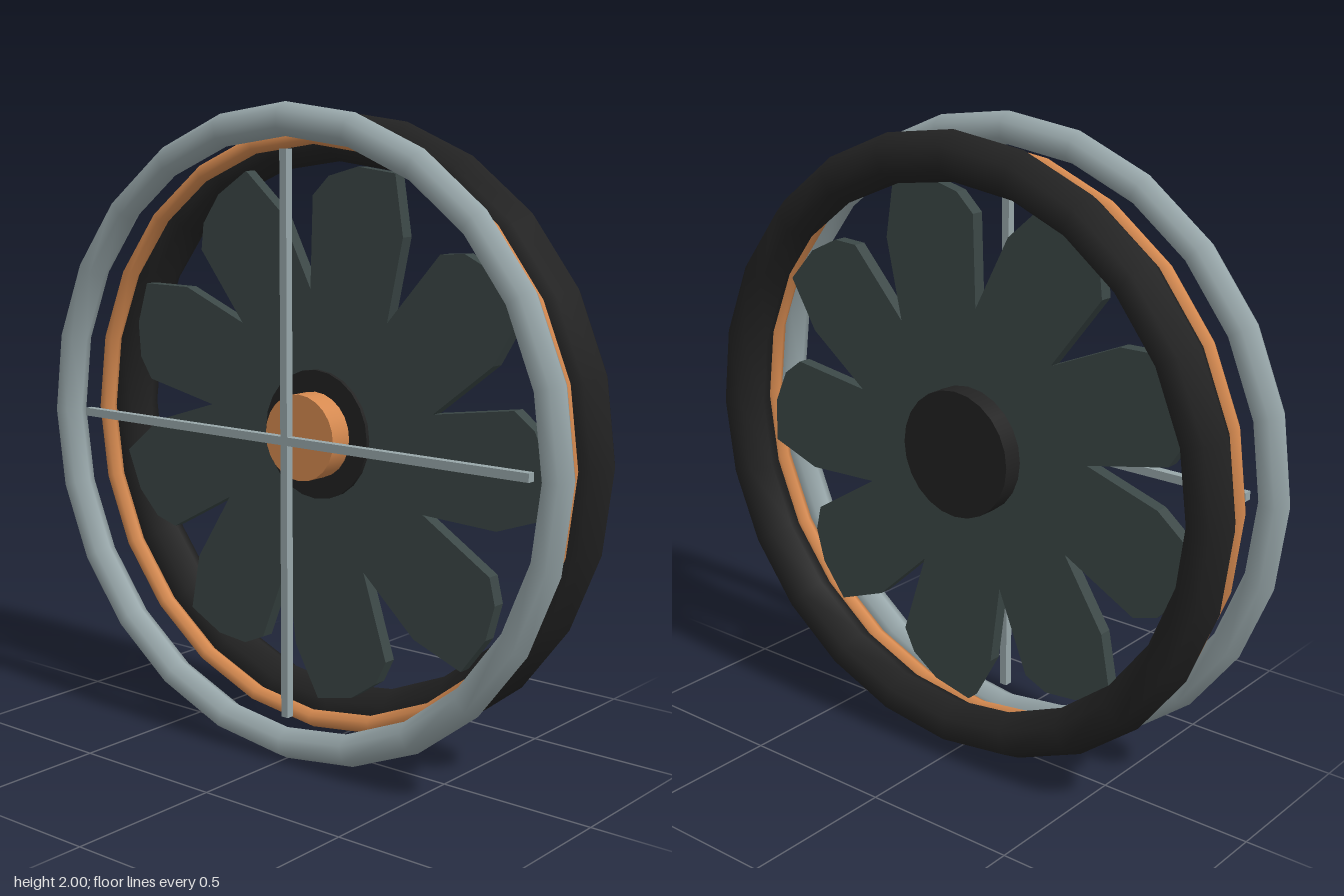
import * as THREE from 'three';

const mat = (name, color) => {
  const m = new THREE.MeshStandardMaterial({ color });
  m.name = name;
  return m;
};

export function createModel() {
  const black = mat('black', 0x222222);
  const slate = mat('dark slate', 0x3b4746);
  const orange = mat('orange', 0xd68a50);
  const grey = mat('pale grey', 0x98a7aa);

  const model = new THREE.Group();
  model.name = 'fan';
  const add = (name, geometry, material, z) => {
    const mesh = new THREE.Mesh(geometry, material);
    mesh.name = name;
    mesh.position.set(0, 1, z);
    model.add(mesh);
    return mesh;
  };

  // Three stacked rings with hexagonal tube sections
  const ring = (radius, tube) => new THREE.TorusGeometry(radius, tube, 6, 24);
  add('rearRing', ring(0.9, 0.075), black, -0.117);
  add('middleRing', ring(0.905, 0.028), orange, 0.008);
  add('frontRing', ring(0.95, 0.05), grey, 0.135);

  // Nine-bladed rotor: one blade outline as [degrees, radius], repeated around
  const blade = [[93.8, 0.445], [91.6, 0.726], [87, 0.785], [79.5, 0.826],
    [70, 0.845], [62.5, 0.69]];
  const outline = [];
  for (let i = 0; i < 9; i++) {
    for (const [deg, r] of blade) {
      const a = THREE.MathUtils.degToRad(deg - i * 40);
      outline.push(new THREE.Vector2(Math.cos(a) * r, Math.sin(a) * r));
    }
  }
  const rotor = new THREE.ExtrudeGeometry(new THREE.Shape(outline), { depth: 0.042, bevelEnabled: false });
  add('blades', rotor, slate, -0.055);

  // Hub and its cap, lying along z
  const disc = (radius, depth) => new THREE.CylinderGeometry(radius, radius, depth, 24).rotateX(Math.PI / 2);
  add('hub', disc(0.2, 0.12), black, -0.06);
  add('hubCap', disc(0.133, 0.087), orange, 0.034);

  // Crossed guard bars in the plane of the front ring
  add('horizontalBar', new THREE.BoxGeometry(1.73, 0.026, 0.026), grey, 0.135);
  add('verticalBar', new THREE.BoxGeometry(0.026, 1.73, 0.026), grey, 0.135);

  return model;
}
